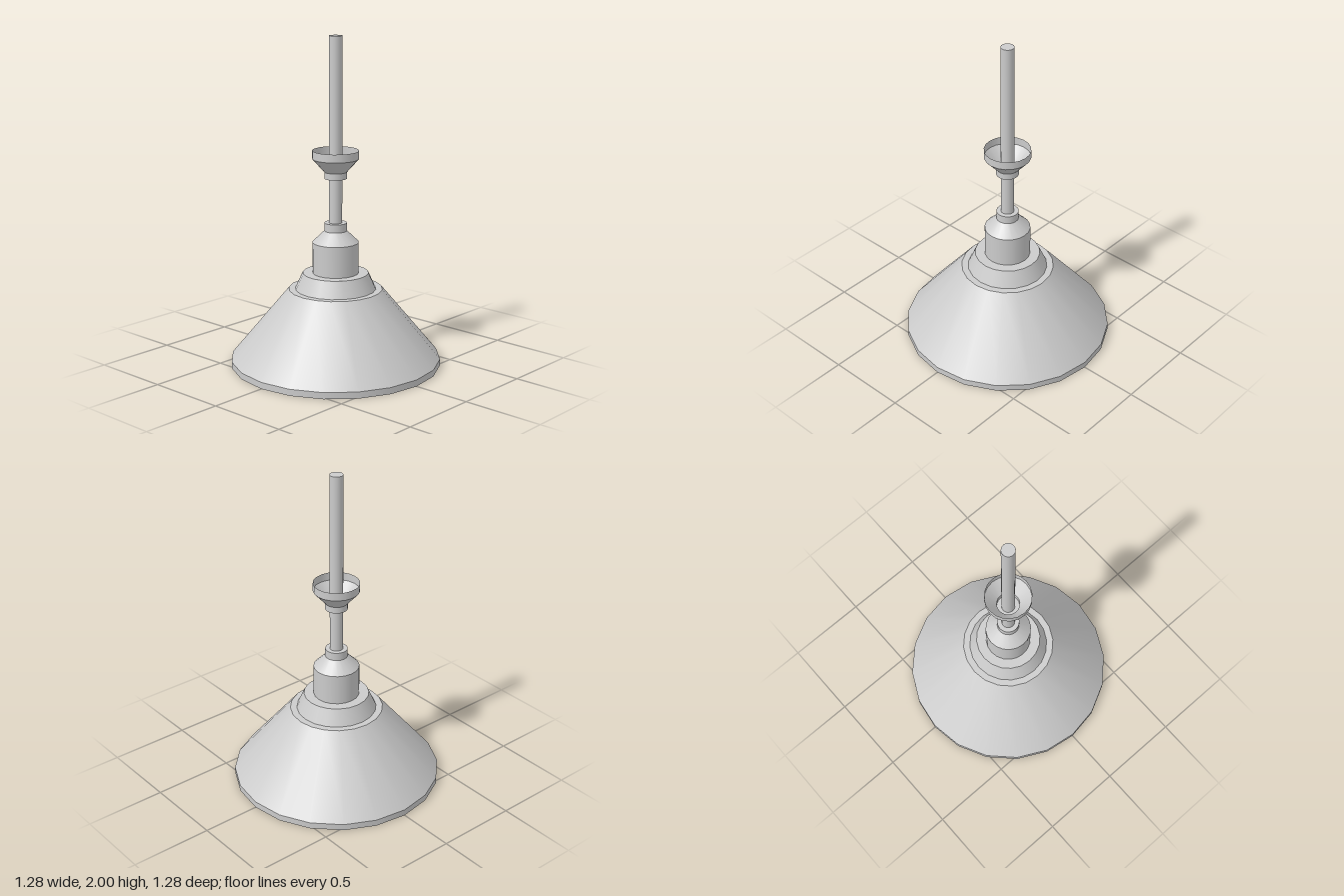
import * as THREE from 'three';
import { mergeGeometries } from 'three/addons/utils/BufferGeometryUtils.js';

const SIDES = 20;
const grey = new THREE.MeshStandardMaterial({ color: 0xcccccc });
const greyThin = new THREE.MeshStandardMaterial({ color: 0xcccccc, side: THREE.DoubleSide });

// Turned part: smooth around the axis, sharp between the bands of the profile
function turned(name, profile, material = grey) {
  const bands = [];
  for (let i = 0; i < profile.length - 1; i++) {
    const pair = [profile[i], profile[i + 1]].map(([r, y]) => new THREE.Vector2(r, y));
    bands.push(new THREE.LatheGeometry(pair, SIDES));
  }
  const mesh = new THREE.Mesh(mergeGeometries(bands), material);
  mesh.name = name;
  return mesh;
}

export function createModel() {
  const lamp = new THREE.Group();
  lamp.name = 'pendantLamp';

  // Hollow conical shade with a flat rim and a stepped crown
  lamp.add(turned('shade', [
    [0, 0.43], [0.25, 0.43], [0.585, 0], [0.64, 0], [0.64, 0.04],
    [0.285, 0.47], [0, 0.47],
  ]));
  lamp.add(turned('crown', [[0.245, 0.47], [0.2, 0.57], [0, 0.57]]));

  // Socket housing with tapered shoulder and collar
  lamp.add(turned('socket', [[0.14, 0.57], [0.14, 0.76], [0.068, 0.83], [0.068, 0.88], [0, 0.88]]));

  // Hanging rod
  lamp.add(turned('rod', [[0.04, 0.88], [0.04, 2], [0, 2]]));

  // Thin open ceiling cup sliding on the rod
  lamp.add(turned('ceilingCup', [
    [0.04, 1.15], [0.068, 1.15], [0.068, 1.19], [0.14, 1.27], [0.14, 1.32],
  ], greyThin));

  // Bulb: straight body with a rounded lower end
  const bulbPoints = [];
  for (let i = 0; i <= 10; i++) {
    const a = (i / 10) * Math.PI / 2;
    bulbPoints.push(new THREE.Vector2(0.115 * Math.sin(a), 0.21 - 0.115 * Math.cos(a)));
  }
  bulbPoints.push(new THREE.Vector2(0.115, 0.43));
  const bulb = new THREE.Mesh(new THREE.LatheGeometry(bulbPoints, SIDES), grey);
  bulb.name = 'bulb';
  lamp.add(bulb);

  return lamp;
}
